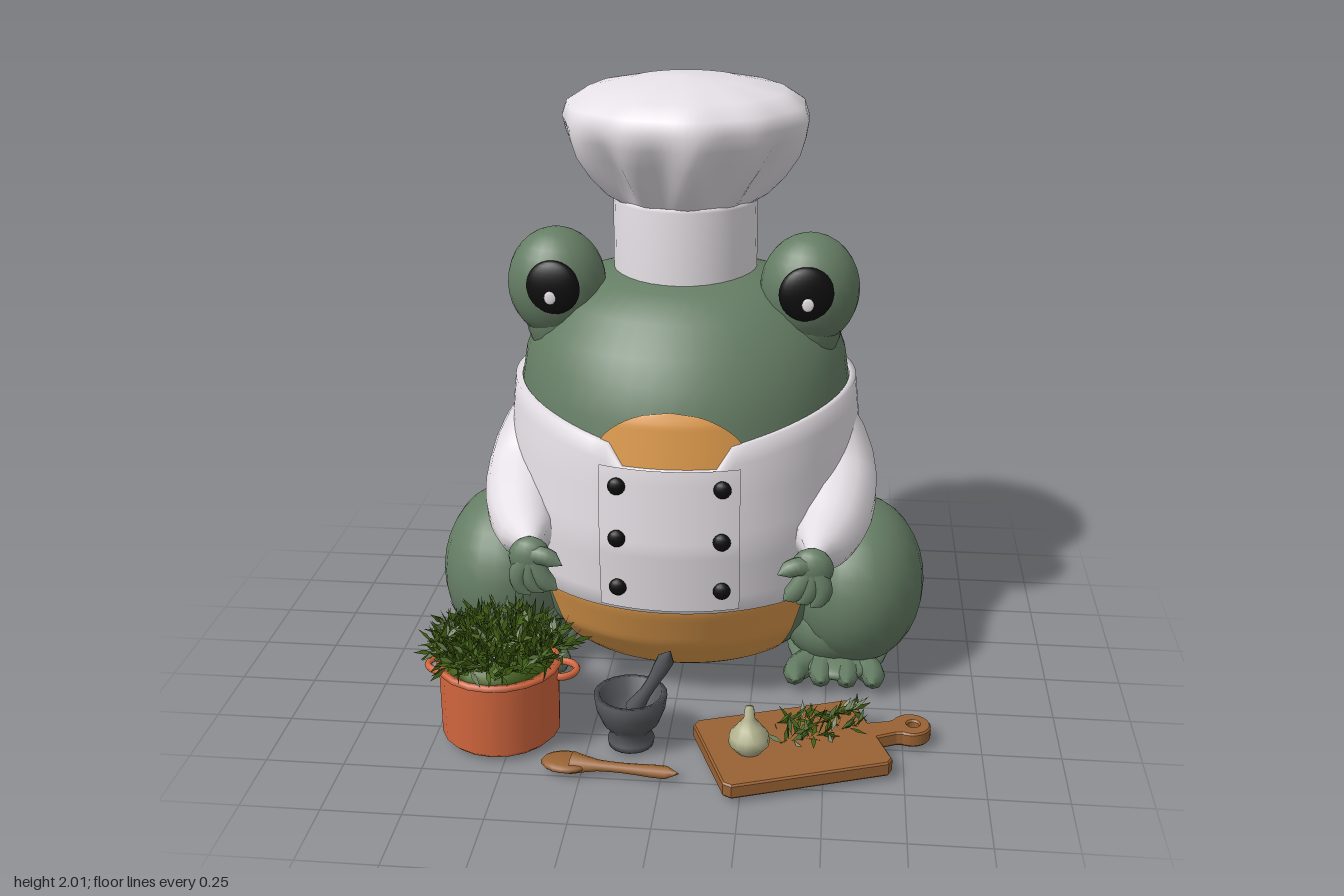
import * as THREE from 'three';

const mat = (name, color, side = THREE.FrontSide) => {
  const m = new THREE.MeshStandardMaterial({ color, side });
  m.name = name;
  return m;
};
const skin = mat('green skin', 0x657d64);
const cloth = mat('white cloth', 0xe6e1e6, THREE.DoubleSide);
const belly = mat('orange belly', 0xdf9b4c);
const under = mat('olive underside', 0x978a58);
const copper = mat('copper', 0xd5683f, THREE.DoubleSide);
const wood = mat('wood', 0x986233);
const stone = mat('grey stone', 0x55565a, THREE.DoubleSide);
const bulb = mat('pale bulb', 0xb4b490);
const leaf = mat('leaf green', 0x415f14, THREE.DoubleSide);
const black = mat('black', 0x0e0e0f);

const { lerp } = THREE.MathUtils;
const V = (x, y, z) => new THREE.Vector3(x, y, z);

function add(parent, name, geo, material, x = 0, y = 0, z = 0) {
  const m = new THREE.Mesh(geo, material);
  m.name = name;
  m.position.set(x, y, z);
  parent.add(m);
  return m;
}

// Smooth surface from fn(u, v) -> [x, y, z]; wraps around u when closed
function surface(nu, nv, fn, closed = false) {
  const pos = [], idx = [], w = closed ? nu : nu + 1;
  for (let j = 0; j <= nv; j++) for (let i = 0; i < w; i++) pos.push(...fn(i / nu, j / nv, j));
  for (let j = 0; j < nv; j++) for (let i = 0; i < nu; i++) {
    const k = (i + 1) % w, a = j * w + i, b = j * w + k, c = a + w, d = b + w;
    idx.push(a, b, d, a, d, c);
  }
  const g = new THREE.BufferGeometry();
  g.setAttribute('position', new THREE.Float32BufferAttribute(pos, 3));
  g.setIndex(idx);
  g.computeVertexNormals();
  return g;
}

// Value from evenly spaced list
function sample(list, t) {
  const f = t * (list.length - 1), i = Math.min(Math.floor(f), list.length - 2);
  return lerp(list[i], list[i + 1], f - i);
}

// Tube whose radius follows a list
function taper(points, radii, seg = 14, sides = 10) {
  const curve = new THREE.CatmullRomCurve3(points.map(p => V(...p)));
  const g = new THREE.TubeGeometry(curve, seg, 1, sides);
  const p = g.attributes.position, v = V(0, 0, 0);
  for (let i = 0; i < p.count; i++) {
    const t = g.attributes.uv.getX(i), c = curve.getPointAt(t);
    v.fromBufferAttribute(p, i).sub(c).multiplyScalar(sample(radii, t)).add(c);
    p.setXYZ(i, v.x, v.y, v.z);
  }
  return g;
}

const ball = (rx, ry, rz, w = 24, h = 16) => new THREE.SphereGeometry(1, w, h).scale(rx, ry, rz);
const lathe = (pts, n = 24) => new THREE.LatheGeometry(pts.map(p => new THREE.Vector2(...p)), n);

// Body sections: height, half width, front z, back z
const ROWS = [
  [0, 0, -.25, -.25], [.005, .26, -.02, -.55], [.03, .42, .08, -.69], [.1, .5, .17, -.78], [.2, .55, .27, -.82],
  [.35, .575, .335, -.795], [.6, .58, .365, -.775], [.85, .57, .35, -.765], [1, .555, .325, -.735],
  [1.1, .54, .28, -.7], [1.18, .51, .235, -.66], [1.28, .44, .16, -.575], [1.345, .34, .06, -.49],
  [1.38, .2, -.06, -.38], [1.39, 0, -.22, -.22]];
function section(y, off = 0) {
  let i = 0;
  while (i < ROWS.length - 2 && ROWS[i + 1][0] < y) i++;
  const a = ROWS[i], b = ROWS[i + 1], t = (y - a[0]) / (b[0] - a[0]);
  const [rx, f, k] = [1, 2, 3].map(n => lerp(a[n], b[n], t));
  return { rx: rx + off, rz: (f - k) / 2 + off, zc: (f + k) / 2 };
}
function onBody(a, y, off) {
  const s = section(y, off);
  return [s.rx * Math.sin(a), y, s.zc + s.rz * Math.cos(a)];
}
// Thin patch lying on the front of the body
function patch(y0, y1, width, off) {
  return surface(20, 20, (u, v) => {
    const y = lerp(y0, y1, v), s = section(y, off);
    const x = Math.min(width(y), s.rx * .95) * (u * 2 - 1);
    return onBody(Math.asin(x / s.rx), y, off);
  });
}

function addLimbs(frog, s) {
  const side = new THREE.Group();
  side.name = s > 0 ? 'leftSide' : 'rightSide';
  frog.add(side);
  // eye on its bulge
  add(side, 'eyeBulge', ball(.163, .185, .145), skin, s * .417, 1.34, -.09);
  add(side, 'eyeBulgeBase', ball(.135, .19, .135), skin, s * .395, 1.24, -.115);
  add(side, 'eye', ball(.09, .09, .032), black, s * .41, 1.355, .036).rotation.y = s * .1;
  add(side, 'eyeHighlight', ball(.02, .023, .005, 10, 6), cloth, s * .415, 1.328, .067);
  // folded leg and foot
  add(side, 'thigh', ball(.23, .29, .295), skin, s * .605, .305, -.085).rotation.x = -.2;
  add(side, 'haunch', ball(.17, .19, .2), skin, s * .42, .2, -.34);
  add(side, 'shin', ball(.19, .17, .25), skin, s * .535, .172, -.11);
  add(side, 'foot', ball(.18, .055, .28), skin, s * .55, .056, -.1);
  for (let i = 0; i < 4; i++) {
    const x = .41 + i * .085;
    add(side, 'toe', taper([[s * (.52 + i * .02), .05, 0], [s * x, .05, .12], [s * x, .045, .2]],
      [.045, .05, .05, .048, .046, .042, .034, 0], 14, 8), skin);
  }
  // sleeve: upper arm hangs from the shoulder, forearm reaches forward
  add(side, 'sleeve', taper([[s * .44, .97, -.2], [s * .485, .84, -.16], [s * .508, .69, -.05], [s * .505, .605, .15],
    [s * .45, .555, .325]], [0, .09, .125, .145, .152, .148, .135, .115, .092, 0], 27, 16), cloth);
  // mitten-like hand: three fingers and a thumb
  add(side, 'palm', ball(.07, .07, .045, 14, 10), skin, s * .455, .535, .335);
  for (let i = 0; i < 3; i++)
    add(side, 'finger', taper([[s * .455, .55, .34], [s * (.49 - i * .04), .47, .355], [s * (.455 - i * .045), .4 + i * .012, .345]],
      [.03, .035, .034, .032, 0], 9, 8), skin);
  add(side, 'thumb', taper([[s * .45, .55, .345], [s * .4, .55, .36], [s * .345, .52, .36]], [.03, .032, .028, 0], 9, 8), skin);
}

function buildFrog() {
  const frog = new THREE.Group();
  frog.name = 'frog';
  frog.position.x = -.012;
  add(frog, 'body', surface(48, ROWS.length - 1, (u, v, j) => onBody(u * Math.PI * 2, ROWS[j][0], 0), true), skin);
  add(frog, 'tail', ball(.17, .13, .1, 16, 10), skin, 0, .25, -.742);
  add(frog, 'chinPatch', patch(.82, 1.04, y => .25 * Math.sqrt(Math.max(0, 1 - ((y - .86) / .18) ** 2)), .006), belly);
  add(frog, 'bellyPatch', patch(.006, .42, y => .27 + .17 * Math.sqrt(y / .4), .006), belly);
  add(frog, 'bellyUnderside', new THREE.CircleGeometry(1, 32).rotateX(Math.PI / 2).scale(.31, 1, .2), under, 0, -.0005, -.14);
  for (const s of [-1, 1]) addLimbs(frog, s);

  // jacket shell with rims folded inward; the neckline dips in front
  const top = a => {
    const s = Math.abs(Math.sin(a));
    if (Math.cos(a) < 0) return 1.01;
    return s < .27 ? .865 : .925 + .085 * (s - .27) / .73;
  };
  add(frog, 'jacket', surface(72, 12, (u, v, j) => {
    const a = u * Math.PI * 2, t = Math.min(Math.max((j - 1) / 10, 0), 1);
    return onBody(a, lerp(.365, top(a), t), j === 0 || j === 12 ? .002 : .025);
  }, true), cloth);
  add(frog, 'jacketFrontPanel', patch(.38, .87, () => .225, .036), cloth);
  for (const x of [-.165, .17]) for (const y of [.81, .635, .457]) {
    const s = section(y, .036);
    add(frog, 'button', ball(.029, .029, .018, 14, 8), black, x, y, s.zc + s.rz * Math.sqrt(1 - (x / s.rx) ** 2) + .006);
  }

  // pleated hat: radius ripples most where the puff leaves the band
  const hat = new THREE.Group();
  hat.name = 'hat';
  hat.position.set(-.004, 0, -.235);
  frog.add(hat);
  add(hat, 'hatBand', lathe([[.24, 1.3], [.24, 1.6], [.225, 1.61]], 32), cloth);
  const puff = [[.23, 1.595, 0], [.265, 1.63, .05], [.31, 1.69, .07], [.36, 1.76, .055], [.39, 1.82, .03],
    [.405, 1.87, .012], [.39, 1.915, .012], [.325, 1.957, .012], [.18, 1.988, .005], [0, 2, 0]];
  add(hat, 'hatPuff', surface(96, puff.length - 1, (u, v, j) => {
    const [r, y, k] = puff[j], a = u * Math.PI * 2;
    const q = r * (1 + k * (Math.sin(a * 11) + .6 * Math.sin(a * 5 + 1)));
    return [q * Math.sin(a), y, q * Math.cos(a)];
  }, true), cloth, 0, 0, -.02);
  return frog;
}

// Herb sprigs: rings of slim leaves along a stem, collected as triangles
let seed = 7;
const rnd = () => (seed = (seed * 16807) % 2147483647) / 2147483647;
function sprig(out, base, dir, length, count, size) {
  for (let i = 0; i < count; i++) {
    const t = (i + 1) / count, p = base.clone().addScaledVector(dir, length * t);
    const d = V(rnd() - .5, rnd() - .35, rnd() - .5).normalize().addScaledVector(dir, .7).normalize();
    const w = V(rnd() - .5, rnd() - .5, rnd() - .5).cross(d).normalize().multiplyScalar(size * .13);
    const mid = p.clone().addScaledVector(d, size * .45), tip = p.clone().addScaledVector(d, size);
    const l = mid.clone().add(w), r = mid.clone().sub(w);
    for (const q of [p, r, tip, p, tip, l]) out.push(q.x, q.y, q.z);
  }
}
function leaves(out) {
  const g = new THREE.BufferGeometry();
  g.setAttribute('position', new THREE.Float32BufferAttribute(out, 3));
  g.computeVertexNormals();
  return g;
}

function buildPot() {
  const pot = new THREE.Group();
  pot.name = 'herbPot';
  pot.position.set(-.543, 0, .508);
  add(pot, 'pot', lathe([[0, 0], [.175, 0], [.19, .015], [.192, .24], [.2, .245], [.2, .262], [.18, .262], [.178, .2]], 20), copper);
  for (const s of [-1, 1]) {
    const h = add(pot, 'potHandle', new THREE.TorusGeometry(.052, .012, 6, 14, Math.PI).rotateZ(-Math.PI / 2).rotateX(Math.PI / 2), copper, s * .19, .205, -.04);
    if (s < 0) h.rotation.y = Math.PI;
  }
  add(pot, 'herbBed', ball(.178, .09, .178, 16, 8), leaf, 0, .255, .01);
  const out = [];
  for (let i = 0; i < 70; i++) {
    const a = i * 2.4, r = Math.sqrt((i + .5) / 70);
    const dir = V(Math.cos(a) * r, 1.05 - .7 * r, Math.sin(a) * r).normalize();
    sprig(out, V(Math.cos(a) * r * .14, .285, .02 + Math.sin(a) * r * .12), dir, .08 + .035 * rnd(), 13, .068);
  }
  add(pot, 'herbLeaves', leaves(out), leaf);
  return pot;
}

function buildBoard() {
  const g = new THREE.Group();
  g.name = 'choppingBoard';
  g.position.set(.397, 0, .582);
  g.rotation.y = .35;
  // slab with a neck and a ring handle
  const s = new THREE.Shape();
  s.moveTo(-.25, -.19).lineTo(.25, -.19).lineTo(.268, -.17).lineTo(.268, -.04).lineTo(.34, -.033);
  s.absarc(.403, 0, .058, -2.4, 2.4, false);
  s.lineTo(.34, .033).lineTo(.268, .04).lineTo(.268, .17).lineTo(.25, .19).lineTo(-.25, .19).lineTo(-.268, .17).lineTo(-.268, -.17);
  s.holes.push(new THREE.Path().absarc(.41, 0, .024, 0, Math.PI * 2, true));
  add(g, 'board', new THREE.ExtrudeGeometry(s, { depth: .036, bevelThickness: .006, bevelSize: .005, bevelSegments: 1 })
    .rotateX(-Math.PI / 2), wood, 0, .012, 0);
  add(g, 'garlic', lathe([[0, 0], [.04, .002], [.064, .03], [.062, .06], [.038, .09], [.018, .115], [.014, .155], [0, .16]], 14), bulb, -.145, .053, .02);
  const out = [];
  for (const [x, z, a] of [[-.03, -.1, -.05], [-.05, .02, .05], [.0, -.02, .3]])
    sprig(out, V(x, .062, z), V(Math.cos(a), .06, -Math.sin(a)), .27, 36, .062);
  add(g, 'herbSprigs', leaves(out), leaf);
  return g;
}

export function createModel() {
  const model = new THREE.Group();
  model.name = 'frogCook';
  model.add(buildFrog(), buildPot(), buildBoard());

  // mortar and pestle
  add(model, 'mortar', lathe([[0, 0], [.072, 0], [.075, .02], [.058, .045], [.09, .08], [.11, .13], [.117, .178],
    [.098, .178], [.085, .12], [.05, .08], [0, .07]], 20), stone, -.115, 0, .55);
  add(model, 'pestle', taper([[-.125, .09, .545], [-.05, .215, .557], [.015, .345, .568]], [0, .03, .026, .02, .02, .022, .026, .028, 0], 16, 10), stone);

  // wooden spoon
  const spoon = new THREE.Group();
  spoon.name = 'spoon';
  spoon.position.set(-.3, .02, .718);
  spoon.rotation.y = -.09;
  model.add(spoon);
  add(spoon, 'spoonBowl', ball(.078, .018, .058, 16, 8), wood);
  add(spoon, 'spoonHandle', taper([[.02, 0, 0], [.2, 0, 0], [.362, 0, 0]], [.045, .032, .022, .02, .02, .022, .025, .025, 0], 16, 8).scale(1, .7, 1), wood);
  return model;
}
